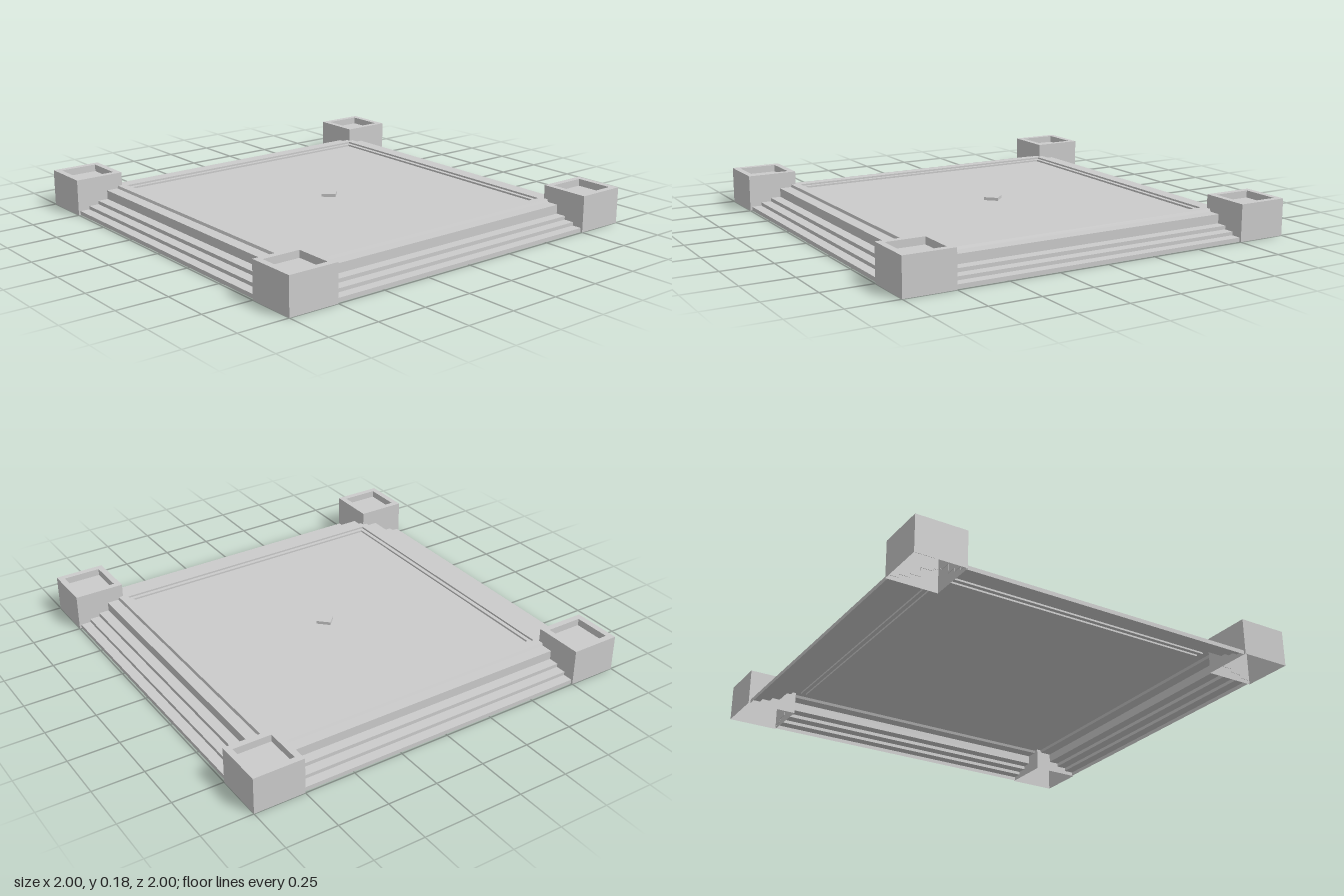
import * as THREE from 'three';

const material = new THREE.MeshStandardMaterial({
  color: 0xcccccc, flatShading: true, side: THREE.DoubleSide,
});

function addMesh(parent, name, geometry) {
  const mesh = new THREE.Mesh(geometry, material);
  mesh.name = name;
  parent.add(mesh);
  return mesh;
}

// Square shell: a [half width, height] profile swept around four flat sides
function squareShell(profile) {
  const points = profile.map(([r, y]) => new THREE.Vector2(r * Math.SQRT2, y));
  const geometry = new THREE.LatheGeometry(points, 4, Math.PI / 4).toNonIndexed();
  geometry.computeVertexNormals();
  return geometry;
}

// Straight flight of steps, open underneath, running between two corners
function stepFlight(profile, halfLength) {
  const positions = [];
  for (let i = 0; i < profile.length - 1; i++) {
    const [z0, y0] = profile[i];
    const [z1, y1] = profile[i + 1];
    const a = [-halfLength, y0, z0], b = [halfLength, y0, z0];
    const c = [halfLength, y1, z1], d = [-halfLength, y1, z1];
    positions.push(...a, ...b, ...c, ...a, ...c, ...d);
  }
  const geometry = new THREE.BufferGeometry();
  geometry.setAttribute('position', new THREE.Float32BufferAttribute(positions, 3));
  geometry.computeVertexNormals();
  return geometry;
}

export function createModel() {
  const model = new THREE.Group();
  model.name = 'steppedPlatform';

  // Steps on all four sides, ending in a narrow rim
  const steps = stepFlight([
    [0.99, 0], [0.99, 0.02], [0.94, 0.02], [0.94, 0.037], [0.888, 0.037],
    [0.888, 0.055], [0.836, 0.055], [0.836, 0.1], [0.777, 0.1],
    [0.772, 0.113], [0.752, 0.113],
  ], 0.752);
  for (let i = 0; i < 4; i++) {
    addMesh(model, 'steps', steps).rotation.y = i * Math.PI / 2;
  }

  // Floor set slightly below the rim with a stepped border
  addMesh(model, 'floor', squareShell([
    [0.752, 0.113], [0.73, 0.113], [0.73, 0.104], [0.71, 0.104], [0.71, 0.095], [0, 0.095],
  ]));

  // Small diamond set in the middle of the floor
  const diamond = addMesh(model, 'centreDiamond', squareShell([
    [0.035, 0.095], [0.035, 0.11], [0, 0.11],
  ]));
  diamond.rotation.y = Math.PI / 4;

  // Hollow corner blocks with a recessed top
  const block = squareShell([
    [0.125, 0], [0.125, 0.18], [0.094, 0.18], [0.094, 0.145], [0, 0.145],
  ]);
  for (const x of [-1, 1]) {
    for (const z of [-1, 1]) {
      addMesh(model, 'cornerBlock', block).position.set(x * 0.875, 0, z * 0.875);
    }
  }

  return model;
}
